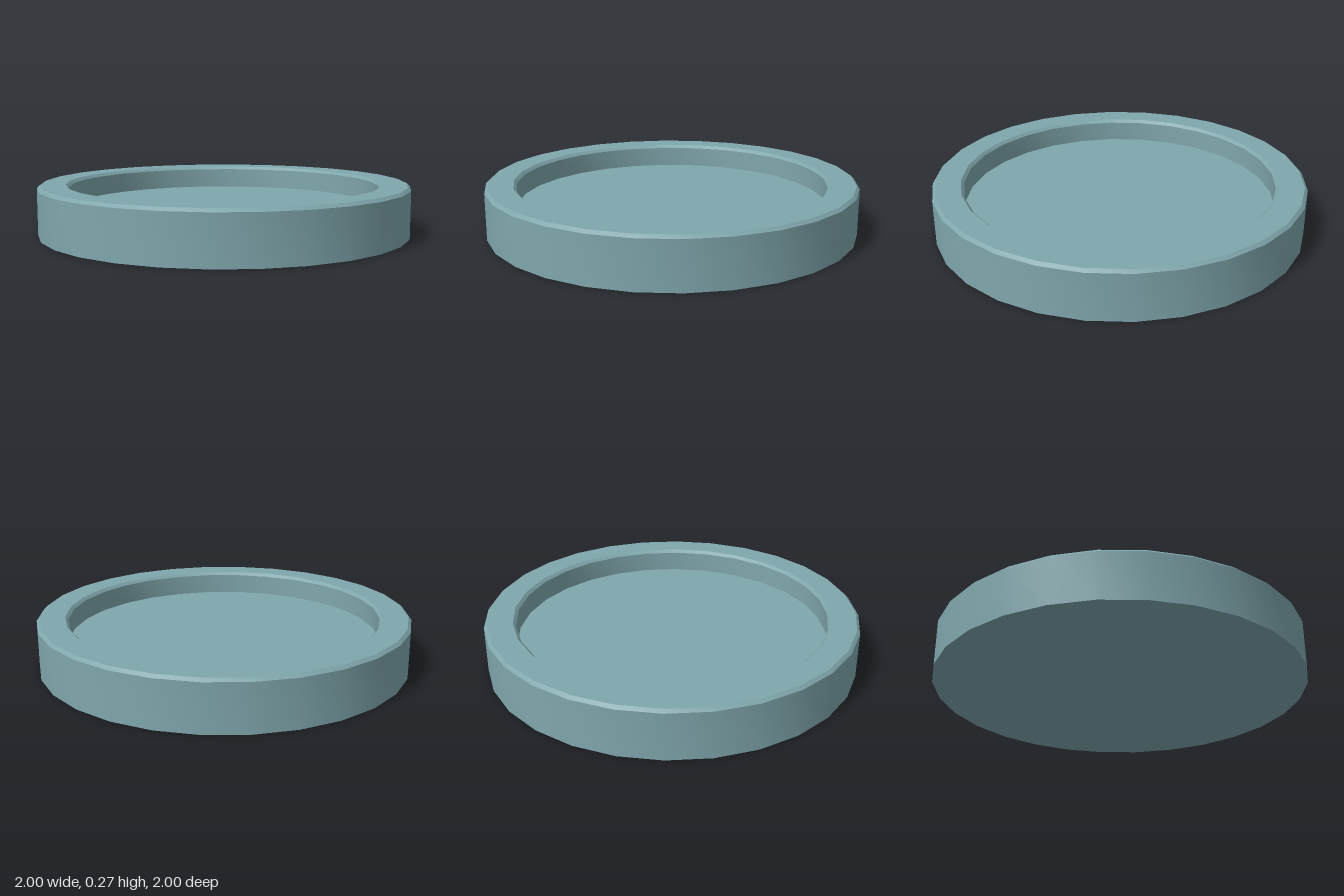
import * as THREE from 'three';
import { toCreasedNormals } from 'three/addons/utils/BufferGeometryUtils.js';

const SIDES = 28;
const HEIGHT = 0.267;
const FLOOR = 0.14;
const BEVEL = 0.016;
const OUTER = 1;
const INNER = 0.834;

export function createModel() {
  const group = new THREE.Group();
  group.name = 'roundTray';

  // Closed profile: underside, outer wall, bevelled rim, inner wall, floor
  const profile = [
    [0, 0],
    [OUTER, 0],
    [OUTER, HEIGHT - BEVEL],
    [OUTER - BEVEL, HEIGHT],
    [INNER + BEVEL, HEIGHT],
    [INNER, HEIGHT - BEVEL],
    [INNER, FLOOR],
    [0, FLOOR],
  ].map(([r, y]) => new THREE.Vector2(r, y));

  // Smooth round walls, sharp bevel edges
  const geometry = toCreasedNormals(new THREE.LatheGeometry(profile, SIDES), 0.5);
  const dish = new THREE.Mesh(geometry, new THREE.MeshStandardMaterial({ color: 0x7fa6ac }));
  dish.name = 'dish';
  group.add(dish);

  return group;
}
